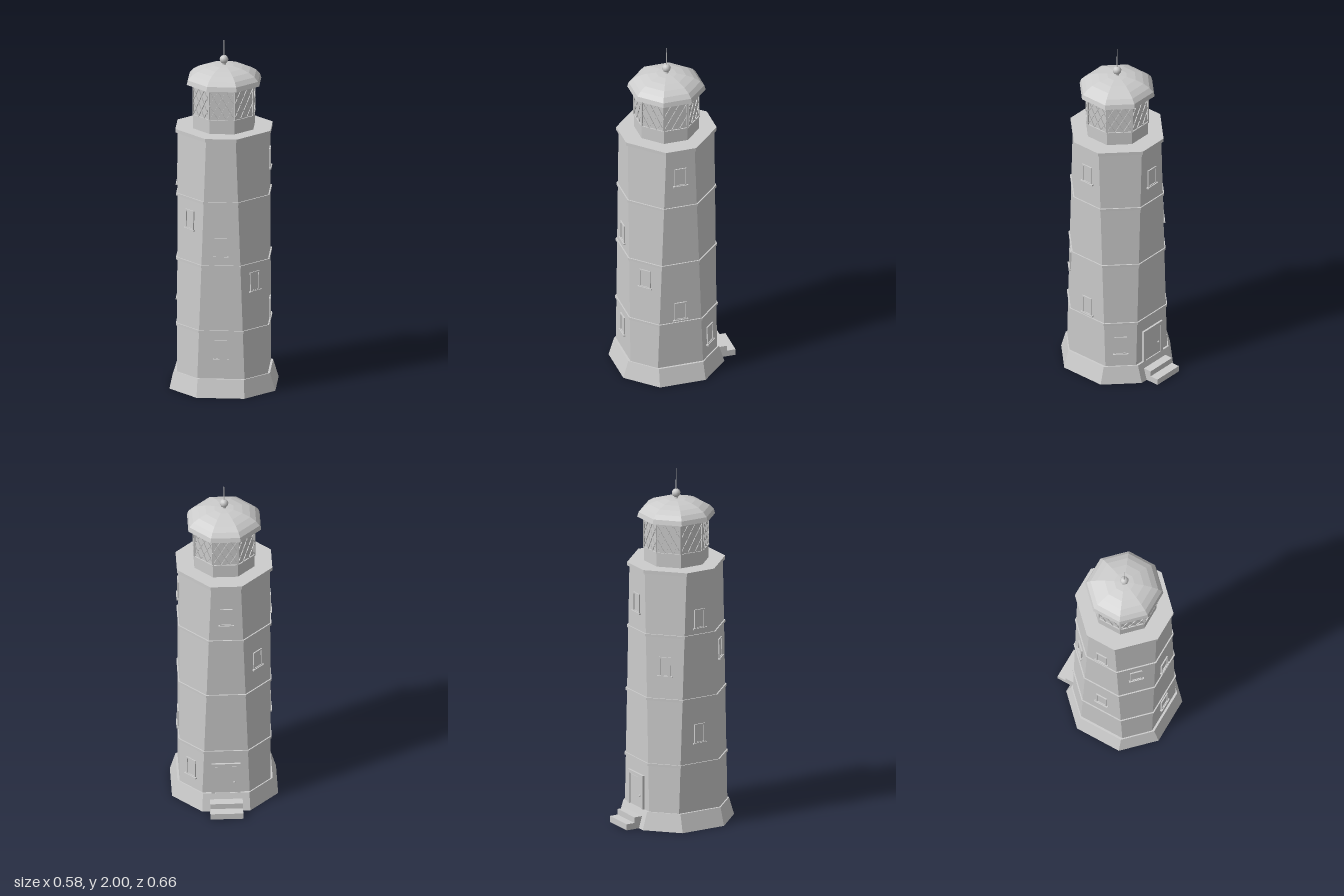
import * as THREE from 'three';

const stone = new THREE.MeshStandardMaterial({ color: 0xcccccc, side: THREE.DoubleSide });
stone.name = 'pale grey';

// Eight-sided solid from rings [apothem, half width of the square-on faces, height]
function loft(name, rings, capBottom = true, capTop = true) {
  const loops = rings.map(([a, h, y]) =>
    [[a, h], [h, a], [-h, a], [-a, h], [-a, -h], [-h, -a], [h, -a], [a, -h]]
      .map(([x, z]) => [x, y, z]));
  const pos = [];
  const tri = (...pts) => pts.forEach((p) => pos.push(...p));
  for (let i = 0; i < 8; i++) {
    const j = (i + 1) % 8;
    for (let r = 0; r + 1 < loops.length; r++) {
      const lo = loops[r], up = loops[r + 1];
      tri(lo[j], lo[i], up[i]);
      if (rings[r + 1][0] > 0) tri(lo[j], up[i], up[j]);
    }
    const last = loops.length - 1;
    if (capBottom) tri([0, rings[0][2], 0], loops[0][i], loops[0][j]);
    if (capTop) tri([0, rings[last][2], 0], loops[last][j], loops[last][i]);
  }
  const geo = new THREE.BufferGeometry();
  geo.setAttribute('position', new THREE.Float32BufferAttribute(pos, 3));
  geo.computeVertexNormals();
  return mesh(name, geo);
}

function mesh(name, geo, x = 0, y = 0, z = 0) {
  const m = new THREE.Mesh(geo, stone);
  m.name = name;
  m.position.set(x, y, z);
  return m;
}

const box = (name, w, h, d, x, y, z) => mesh(name, new THREE.BoxGeometry(w, h, d), x, y, z);

// Rectangular surround standing on y = 0, against z = 0
function surround(name, w, h, border, depth) {
  const s = new THREE.Shape();
  s.moveTo(-w / 2, 0).lineTo(w / 2, 0).lineTo(w / 2, h).lineTo(-w / 2, h).closePath();
  const hole = new THREE.Path(), b = border;
  hole.moveTo(-w / 2 + b, b).lineTo(-w / 2 + b, h - b).lineTo(w / 2 - b, h - b).lineTo(w / 2 - b, b).closePath();
  s.holes.push(hole);
  return mesh(name, new THREE.ExtrudeGeometry(s, { depth: depth + 0.005, bevelEnabled: false }).translate(0, 0, -0.005));
}

// The square-on faces are upright; they narrow upwards, so the corner faces lean in
const TOP = 1.47, FOOT = 0.1, WALL = 0.25;
const halfAt = (y) => 0.13 - (0.048 * (y - FOOT)) / (TOP - FOOT);

function windowAt(step, y) {
  const turn = new THREE.Group();
  turn.name = 'window';
  turn.rotation.y = (step * Math.PI) / 4;
  const corner = step % 2 !== 0;
  const w = new THREE.Group();
  w.position.set(0, y, corner ? (WALL + halfAt(y)) / Math.SQRT2 : WALL);
  if (corner) w.rotation.x = -Math.atan(0.048 / Math.SQRT2 / (TOP - FOOT));
  w.add(
    surround('windowFrame', 0.068, 0.11, 0.008, 0.007),
    box('windowPane', 0.054, 0.096, 0.004, 0, 0.055, 0),
    box('windowSill', 0.085, 0.008, 0.02, 0, 0, 0.003),
  );
  turn.add(w);
  return turn;
}

function lantern() {
  const g = new THREE.Group();
  g.name = 'lantern';
  const k = Math.tan(Math.PI / 8);
  const ring = (a, y) => [a, a * k, y];
  g.add(
    loft('lanternWall', [ring(0.166, 1.475), ring(0.166, 1.56)]),
    loft('lanternGlass', [ring(0.163, 1.55), ring(0.163, 1.74)]),
    loft('lanternSill', [ring(0.17, 1.555), ring(0.17, 1.562)]),
    loft('lanternHead', [ring(0.17, 1.722), ring(0.17, 1.736)]),
  );

  // Diamond lattice on each pane
  const W = 0.138, y0 = 1.562, H = 0.16, cols = 3;
  const cw = W / cols, ch = H / 2;
  const length = Math.hypot(cw, ch), angle = Math.atan2(cw, ch);
  const bar = new THREE.BoxGeometry(0.004, length, 0.006);
  const post = new THREE.BoxGeometry(0.006, H, 0.008);
  for (let f = 0; f < 8; f++) {
    const pane = new THREE.Group();
    pane.name = 'lattice';
    pane.rotation.y = (f * Math.PI) / 4;
    for (let c = 0; c < cols; c++) for (let r = 0; r < 2; r++) for (const s of [-1, 1]) {
      const b = mesh('latticeBar', bar, -W / 2 + (c + 0.5) * cw, y0 + (r + 0.5) * ch, 0.165);
      b.rotation.z = s * angle;
      pane.add(b);
    }
    for (const s of [-1, 1]) pane.add(mesh('lanternPost', post, s * 0.066, y0 + H / 2, 0.166));
    g.add(pane);
  }

  // Domed roof, ball and spike
  const dome = [];
  for (let i = 0; i <= 6; i++) {
    const t = (i * Math.PI) / 12;
    dome.push(ring(i === 6 ? 0 : 0.2 * Math.cos(t), 1.735 + 0.098 * Math.sin(t)));
  }
  g.add(
    loft('roof', dome, true, false),
    mesh('finialNeck', new THREE.CylinderGeometry(0.008, 0.012, 0.02, 8), 0, 1.838, 0),
    mesh('finialBall', new THREE.SphereGeometry(0.024, 10, 8), 0, 1.862, 0),
    mesh('spike', new THREE.CylinderGeometry(0.0008, 0.004, 0.12, 6), 0, 1.94, 0),
  );
  return g;
}

function entrance() {
  const g = new THREE.Group();
  g.name = 'entrance';
  g.rotation.y = Math.PI;
  const frame = surround('doorFrame', 0.16, 0.225, 0.018, 0.012);
  frame.position.set(0, 0.068, WALL);
  g.add(
    frame,
    box('door', 0.126, 0.2, 0.008, 0, 0.17, WALL + 0.002),
    mesh('doorKnob', new THREE.SphereGeometry(0.006, 8, 6), 0.045, 0.17, WALL + 0.01),
    box('upperStep', 0.18, 0.067, 0.07, 0, 0.0335, 0.285),
    box('lowerStep', 0.18, 0.035, 0.05, 0, 0.0175, 0.345),
  );
  return g;
}

export function createModel() {
  const model = new THREE.Group();
  model.name = 'lighthouse';
  const tower = new THREE.Group();
  tower.name = 'tower';
  tower.position.z = 0.038;
  model.add(tower);

  tower.add(
    loft('flaredFoot', [[0.292, 0.132, 0], [0.262, 0.128, FOOT]], false, true),
    loft('wall', [[WALL, halfAt(FOOT), FOOT], [WALL, halfAt(TOP), TOP]]),
    loft('gallery', [[0.262, 0.087, 1.462], [0.262, 0.087, 1.482]]),
  );
  for (const y of [0.37, 0.745, 1.11]) {
    const h = halfAt(y) + 0.003;
    tower.add(loft('stringCourse', [[0.257, h, y - 0.007], [0.257, h, y + 0.007]]));
  }

  // Windows as [eighth turn from the front, sill height], winding up the tower
  const windows = [
    [0, 0.21], [0, 0.8], [1, 0.59], [2, 0.39], [2, 1.25],
    [3, 0.175], [4, 1.215], [5, 0.88], [6, 0.49], [6, 1.15], [7, 0.935],
  ];
  for (const [step, y] of windows) tower.add(windowAt(step, y));

  tower.add(entrance(), lantern());
  return model;
}
